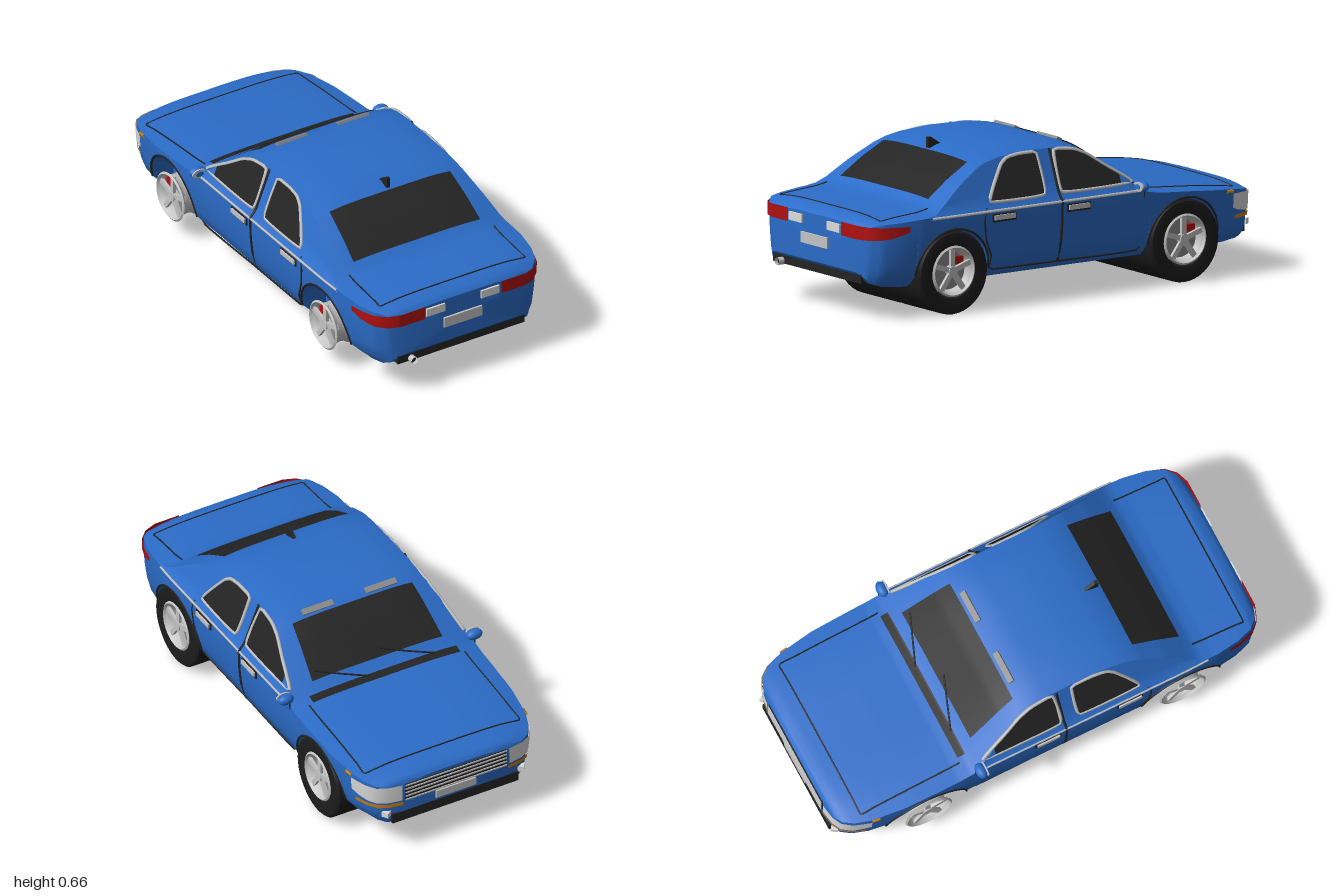
import * as THREE from 'three';
import { toCreasedNormals } from 'three/addons/utils/BufferGeometryUtils.js';

const mat = (name, color, side = THREE.DoubleSide) =>
  Object.assign(new THREE.MeshStandardMaterial({ color, side }), { name });

// Piecewise linear lookup in a list of [z, value]
function lookup(table, z) {
  if (z <= table[0][0]) return table[0][1];
  for (let i = 1; i < table.length; i++) {
    const [z0, a] = table[i - 1], [z1, b] = table[i];
    if (z <= z1) return a + (b - a) * (z - z0) / (z1 - z0);
  }
  return table[table.length - 1][1];
}

// Half width, top height and floor height along the car (nose at -z)
const WIDTH = [[-0.99, 0.26], [-0.98, 0.32], [-0.96, 0.36], [-0.92, 0.39], [-0.85, 0.415], [-0.7, 0.435], [-0.5, 0.44],
  [0.6, 0.44], [0.75, 0.435], [0.85, 0.42], [0.92, 0.395], [0.96, 0.355], [0.98, 0.3]];
const TOP = [[-0.99, 0.345], [-0.975, 0.36], [-0.94, 0.37], [-0.85, 0.383], [-0.65, 0.402], [-0.45, 0.418], [-0.39, 0.43],
  [-0.36, 0.448], [-0.2, 0.573], [-0.13, 0.617], [-0.07, 0.638], [0, 0.647], [0.15, 0.65], [0.3, 0.64], [0.37, 0.626],
  [0.42, 0.607], [0.53, 0.545], [0.63, 0.475], [0.67, 0.452], [0.72, 0.443], [0.93, 0.43], [0.965, 0.415], [0.98, 0.4]];
const FLOOR = [[-0.99, 0.15], [-0.95, 0.138], [-0.85, 0.13], [0.8, 0.13], [0.9, 0.14], [0.95, 0.16], [0.98, 0.2]];
const AXLES = [-0.595, 0.585], ARCH = 0.183, AXLE_Y = 0.178, CROWN = 0.022;

function sideX(z, y) {
  const w = lookup(WIDTH, z);
  if (y < 0.42) return w * (1 - 1.2 * Math.max(0, 0.39 - y) ** 2) - 10 * Math.max(0, 0.19 - y) ** 2;
  return w - 0.025 * Math.min(1, (y - 0.42) / 0.03) - 0.4 * Math.max(0, y - 0.45);
}
function topY(z, x) {
  const h = lookup(TOP, z), xe = sideX(z, h - CROWN);
  return h - CROWN * Math.min(1, Math.abs(x) / xe) ** 4;
}

// Surface through a grid of rows of points
function gridGeometry(rows) {
  const n = rows[0].length, index = [];
  for (let i = 0; i < rows.length - 1; i++) for (let j = 0; j < n - 1; j++) {
    const a = i * n + j, c = a + n;
    index.push(a, a + 1, c, a + 1, c + 1, c);
  }
  const g = new THREE.BufferGeometry();
  g.setAttribute('position', new THREE.Float32BufferAttribute(rows.flat(2), 3));
  g.setIndex(index);
  g.computeVertexNormals();
  return g;
}

// Cross-section ring of the body, including the wheel wells
function ring(z) {
  const yb = lookup(FLOOR, z), h = lookup(TOP, z), ye = h - CROWN;
  let ya = yb;
  for (const a of AXLES) if (Math.abs(z - a) <= ARCH + 1e-6)
    ya = AXLE_Y + Math.sqrt(Math.max(0, ARCH ** 2 - (z - a) ** 2));
  const xi = Math.min(0.3, sideX(z, yb) * 0.9), half = [[0, yb], [xi, yb], [xi, ya]];
  const m1 = Math.min(0.42, ye), m2 = Math.min(0.45, ye);
  for (let k = 0; k <= 6; k++) { const y = ya + (m1 - ya) * k / 6; half.push([sideX(z, y), y]); }
  for (let k = 0; k <= 3; k++) { const y = m2 + (ye - m2) * k / 3; half.push([sideX(z, y), y]); }
  const xe = sideX(z, ye);
  for (let k = 1; k <= 8; k++) { const x = xe * (1 - k / 8) ** 1.3; half.push([x, topY(z, x)]); }
  const left = half.slice(0, -1).reverse().map(([x, y]) => [-x, y]);
  return [...half, ...left].map(([x, y]) => [x, y, z]);
}

function bodyGeometry() {
  const zs = [...WIDTH, ...TOP, ...FLOOR].map(p => p[0]);
  for (const a of AXLES) {
    zs.push(a - ARCH - 0.001, a + ARCH + 0.001);
    for (let k = 0; k <= 16; k++) zs.push(a - ARCH * Math.cos(Math.PI * k / 16));
  }
  const rows = [...new Set(zs)].sort((a, b) => a - b).map(ring);
  const cap = z => rows[0].map(() => [0, 0.28, z]);
  return toCreasedNormals(gridGeometry([cap(-0.99), ...rows, cap(0.98)]), 0.6);
}

export function createModel() {
  const car = new THREE.Group();
  car.name = 'sedan';
  const blue = mat('body blue', 0x2b6cc8, THREE.FrontSide), black = mat('trim black', 0x242424),
    rubber = mat('tyre rubber', 0x1c1c1c), silver = mat('silver', 0xc4c4c4), grey = mat('rim grey', 0x8c8c8c),
    red = mat('lamp red', 0xb01010), orange = mat('indicator orange', 0xd08010), white = mat('lamp white', 0xdcdcdc);

  const add = (name, geo, m, x = 0, y = 0, z = 0, parent = car) => {
    const mesh = new THREE.Mesh(geo, m);
    mesh.name = name;
    mesh.position.set(x, y, z);
    parent.add(mesh);
    return mesh;
  };
  const box = (name, m, w, h, d, x, y, z, parent) => add(name, new THREE.BoxGeometry(w, h, d), m, x, y, z, parent);
  const tube = (name, pts, r, m, closed = false) => add(name, new THREE.TubeGeometry(
    new THREE.CatmullRomCurve3(pts.map(p => new THREE.Vector3(...p)), closed, 'catmullrom', 0.15),
    pts.length * 6, r, 5, closed), m);
  // Line lying on the flank, from [z, y] points
  const sideLine = (name, s, pts, r, m, closed) =>
    tube(name, pts.map(([z, y]) => [s * (sideX(z, y) + 0.001), y, z]), r, m, closed);
  // Thin patch lying on the upper surface
  const topPatch = (name, m, z0, z1, w0, w1) => {
    const rows = [];
    for (let i = 0; i <= 14; i++) {
      const t = i / 14, z = z0 + (z1 - z0) * t, w = w0 + (w1 - w0) * t, row = [];
      for (let j = 0; j <= 12; j++) { const x = w * (1 - j / 6); row.push([x, topY(z, x) + 0.005, z]); }
      rows.push(row);
    }
    add(name, gridGeometry(rows), m);
  };
  // Lamp wrapping round a corner, from the flat end to the flank
  const wrap = (name, m, s, xIn, zs, yLow, yHigh) => {
    const end = Math.sign(zs[0]);
    const rows = [[xIn, zs[0]], ...zs.map(z => [null, z])].map(([x, z], i) => {
      const t = i / zs.length, lo = yLow(t), hi = yHigh(t);
      return [0, 0.5, 1].map(k => {
        const y = lo + (hi - lo) * k;
        return [s * ((x ?? sideX(z, y) + 0.004)), y, z + end * 0.006];
      });
    });
    add(name, gridGeometry(rows), m);
  };

  add('body', bodyGeometry(), blue);

  // Glass and lines on the upper surface
  topPatch('windscreen', black, -0.34, -0.13, 0.31, 0.285);
  topPatch('rearWindow', black, 0.42, 0.63, 0.295, 0.31);
  topPatch('cowl', black, -0.42, -0.385, 0.35, 0.35);
  const lid = (name, z0, z1, w) => {
    const pts = [];
    for (let k = 0; k <= 8; k++) pts.push([w, z0 + (z1 - z0) * k / 8]);
    for (let k = 1; k <= 8; k++) pts.push([w * (1 - k / 4), z1]);
    for (let k = 1; k <= 8; k++) pts.push([-w, z1 + (z0 - z1) * k / 8]);
    tube(name, pts.map(([x, z]) => [x, topY(z, x), z]), 0.0035, black);
  };
  lid('bonnetSeam', -0.42, -0.88, 0.37);
  lid('bootSeam', 0.665, 0.905, 0.355);
  for (const [x0, x1] of [[-0.24, -0.02], [0.08, 0.285]])
    tube('wiper', [0, 0.5, 1].map(t => {
      const x = x0 + (x1 - x0) * t, z = -0.395 + 0.08 * t;
      return [x, topY(z, x) + 0.013, z];
    }), 0.004, black);
  for (const x of [-0.15, 0.15]) box('roofBar', grey, 0.145, 0.012, 0.026, x, topY(-0.1, x) + 0.002, -0.103).rotation.x = -0.5;
  const fin = new THREE.Shape([[0.335, 0.62], [0.41, 0.615], [0.41, 0.66], [0.395, 0.66]].map(p => new THREE.Vector2(...p)));
  add('antennaFin', new THREE.ExtrudeGeometry(fin, { depth: 0.016, bevelEnabled: false }).rotateY(-Math.PI / 2), black, 0.008);

  // Outlines on the flanks, as [z, y]
  const windows = {
    frontWindow: [[0.022, 0.45], [0.022, 0.61], [0.005, 0.62], [-0.08, 0.61], [-0.14, 0.585], [-0.22, 0.53], [-0.335, 0.45]],
    rearWindow: [[0.39, 0.45], [0.3, 0.585], [0.26, 0.612], [0.2, 0.62], [0.125, 0.62], [0.108, 0.61], [0.112, 0.45]],
  };
  const door = [[0.42, 0.43], [0.435, 0.38], [0.425, 0.3], [0.39, 0.22], [0.385, 0.165], [0, 0.16], [-0.375, 0.165], [-0.38, 0.42]];
  for (const s of [1, -1]) {
    for (const [name, pts] of Object.entries(windows)) {
      const g = new THREE.ShapeGeometry(new THREE.Shape(pts.map(p => new THREE.Vector2(...p))));
      const p = g.attributes.position;
      for (let i = 0; i < p.count; i++) {
        const z = p.getX(i), y = p.getY(i);
        p.setXYZ(i, s * (sideX(z, y) + 0.005), y, z);
      }
      g.computeVertexNormals();
      add(name + 'Glass', g, black);
      sideLine(name + 'Frame', s, pts, 0.008, silver, true);
    }
    sideLine('doorSeam', s, door, 0.004, black);
    sideLine('doorDivider', s, [0.16, 0.25, 0.33, 0.39, 0.42, 0.45, 0.54, 0.625].map(y => [0.04, y]), 0.006, black);
    sideLine('beltStrip', s, [[0.7, 0.415], [0.6, 0.415], [0.1, 0.415], [-0.37, 0.415]], 0.006, silver);
    for (const z of [0.335, -0.045]) {
      box('handleRecess', black, 0.008, 0.034, 0.12, s * 0.44, 0.385, z);
      box('doorHandle', silver, 0.016, 0.02, 0.105, s * 0.443, 0.387, z);
    }
    for (const a of AXLES) sideLine('archTrim', s, Array.from({ length: 15 }, (_, k) => {
      const t = Math.PI * k / 14;
      return [a + ARCH * Math.cos(t), AXLE_Y + ARCH * Math.sin(t)];
    }), 0.005, black);

    // Door mirror
    add('mirrorHousing', new THREE.SphereGeometry(1, 20, 14).scale(0.036, 0.023, 0.024), blue, s * 0.449, 0.435, -0.362);
    add('mirrorGlass', new THREE.CylinderGeometry(1, 1, 0.006, 24).rotateX(Math.PI / 2).scale(0.034, 0.02, 1), silver, s * 0.449, 0.435, -0.342);
    add('mirrorCentre', new THREE.CylinderGeometry(1, 1, 0.004, 16).rotateX(Math.PI / 2).scale(0.018, 0.011, 1), blue, s * 0.449, 0.435, -0.338);

    // Lamps
    wrap('tailLamp', red, s, 0.187, [0.98, 0.975, 0.96, 0.94, 0.92, 0.88, 0.85, 0.8],
      t => 0.342 + 0.03 * t ** 5, t => 0.4 - 0.005 * t);
    box('reverseLamp', white, 0.09, 0.036, 0.009, s * 0.133, 0.368, 0.984);
    wrap('headlamp', white, s, 0.255, [-0.99, -0.98, -0.96, -0.94, -0.92, -0.88, -0.845],
      t => 0.258 + 0.025 * t ** 5, t => 0.335 + 0.008 * t);
    wrap('frontIndicator', orange, s, 0.25, [-0.99, -0.98, -0.96, -0.92, -0.86], () => 0.233, () => 0.25);
    sideLine('sideIndicator', s, [[-0.815, 0.355], [-0.85, 0.353]], 0.008, orange);
    box('fogLamp', white, 0.04, 0.024, 0.03, s * 0.315, 0.2, -0.972).rotation.y = s * 0.6;
  }

  // Nose and tail details
  box('grille', black, 0.48, 0.08, 0.01, 0, 0.292, -0.991);
  for (let k = 0; k < 5; k++) box('grilleSlat', silver, 0.48, 0.006, 0.008, 0, 0.256 + 0.018 * k, -0.996);
  box('frontPlate', silver, 0.19, 0.035, 0.008, 0, 0.228, -0.994);
  box('frontIntake', black, 0.6, 0.045, 0.05, 0, 0.173, -0.967);
  box('rearPlate', silver, 0.186, 0.046, 0.012, 0, 0.292, 0.983);
  box('rearDiffuser', black, 0.62, 0.042, 0.06, 0, 0.175, 0.942);
  add('exhaust', new THREE.CylinderGeometry(0.016, 0.016, 0.12, 18, 1, true).rotateX(Math.PI / 2), silver, -0.245, 0.165, 0.94);
  add('exhaustInside', new THREE.CircleGeometry(0.015, 18), black, -0.245, 0.165, 0.985);

  // Wheels: tyres and rims are set separately along each axle
  const lathe = (pts, n = 40) =>
    toCreasedNormals(new THREE.LatheGeometry(pts.map(p => new THREE.Vector2(...p)), n).rotateZ(-Math.PI / 2), 0.6);
  const tyre = lathe([[0.108, -0.138], [0.14, -0.144], [0.167, -0.14], [0.175, -0.132],
    [0.175, 0.132], [0.167, 0.14], [0.14, 0.144], [0.108, 0.138], [0.108, -0.138]]);
  const barrel = lathe([[0.1, -0.05], [0.1, -0.04], [0.09, -0.028], [0.086, 0], [0.09, 0.03], [0.1, 0.045], [0.108, 0.05], [0.1, 0.056], [0.094, 0.045]]);
  for (const a of AXLES) {
    for (const x of [0.29, -0.01]) add('tyre', tyre, rubber, x, 0.175, a);
    for (const s of [1, -1]) {
      const wheel = new THREE.Group();
      wheel.name = 'rim';
      wheel.position.set(s * 0.38, 0.182, a);
      car.add(wheel);
      add('rimBarrel', s > 0 ? barrel : barrel.clone().rotateY(Math.PI), silver, 0, 0, 0, wheel);
      add('brakeDisc', new THREE.CylinderGeometry(0.082, 0.082, 0.012, 30).rotateZ(Math.PI / 2), grey, s * 0.005, 0, 0, wheel);
      add('hub', new THREE.CylinderGeometry(0.022, 0.022, 0.03, 20).rotateZ(Math.PI / 2), silver, s * 0.034, 0, 0, wheel);
      box('brakeCaliper', red, 0.02, 0.03, 0.042, s * 0.018, 0.04, -0.045, wheel);
      for (let k = 0; k < 5; k++) {
        const spoke = new THREE.BoxGeometry(0.014, 0.08, 0.022).translate(s * 0.037, 0.055, 0).rotateX(k * Math.PI * 0.4);
        add('spoke', spoke, silver, 0, 0, 0, wheel);
      }
    }
  }
  return car;
}
